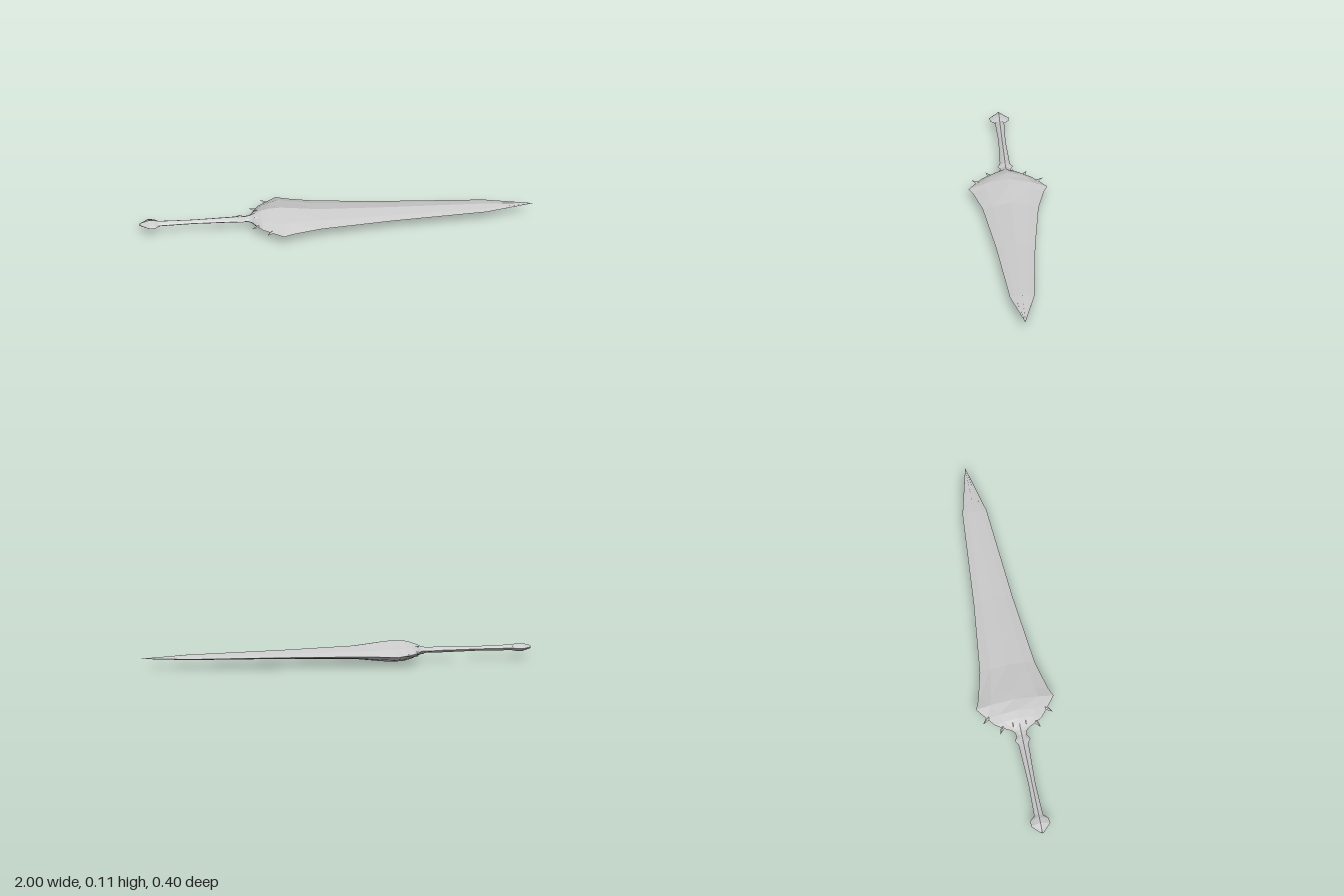
import * as THREE from 'three';

const MID = 0.057; // height of the sword's flat middle plane

// Eight-sided lens section: [z, y] as fractions of half width and half thickness
const LENS = [[1, 0], [0.62, 0.5], [0, 1], [-0.62, 0.5], [-1, 0], [-0.62, -0.5], [0, -1], [0.62, -0.5]];

// Skin a list of [x, halfWidth, halfThickness] stations, closed at both ends
function loft(stations) {
  const n = LENS.length, pos = [], idx = [];
  for (const [x, w, h] of stations) for (const [z, y] of LENS) pos.push(x, y * h, z * w);
  for (let i = 0; i < stations.length - 1; i++) {
    for (let j = 0; j < n; j++) {
      const a = i * n + j, c = i * n + (j + 1) % n;
      idx.push(a, a + n, c, a + n, c + n, c);
    }
  }
  const last = (stations.length - 1) * n;
  for (let j = 1; j < n - 1; j++) {
    idx.push(0, j, j + 1);
    idx.push(last, last + j + 1, last + j);
  }
  const g = new THREE.BufferGeometry();
  g.setAttribute('position', new THREE.Float32BufferAttribute(pos, 3));
  g.setIndex(idx);
  const flat = g.toNonIndexed(); // separate faces give crisp facets
  flat.computeVertexNormals();
  return flat;
}

export function createModel() {
  const sword = new THREE.Group();
  sword.name = 'sword';
  const steel = new THREE.MeshStandardMaterial({ color: 0xcccccc });
  steel.name = 'pale steel';

  const add = (name, geometry) => {
    const mesh = new THREE.Mesh(geometry, steel);
    mesh.name = name;
    mesh.position.y = MID;
    sword.add(mesh);
    return mesh;
  };

  // Broad blade with a swollen, flared shoulder
  add('blade', loft([
    [-0.445, 0.03, 0.017], [-0.43, 0.045, 0.024], [-0.41, 0.085, 0.033], [-0.385, 0.122, 0.043],
    [-0.345, 0.155, 0.053], [-0.285, 0.2, 0.055], [-0.24, 0.18, 0.051], [-0.09, 0.142, 0.034],
    [0.28, 0.1, 0.023], [0.76, 0.062, 0.014], [1, 0.001, 0.001],
  ]));

  // Slim grip ending in a small collar
  add('grip', loft([
    [-0.91, 0.023, 0.015], [-0.73, 0.018, 0.012], [-0.53, 0.025, 0.015], [-0.51, 0.027, 0.016],
    [-0.49, 0.04, 0.014], [-0.465, 0.026, 0.014], [-0.43, 0.034, 0.022],
  ]));

  // Faceted pommel
  add('pommel', loft([
    [-1, 0.008, 0.008], [-0.955, 0.05, 0.021], [-0.925, 0.046, 0.019], [-0.905, 0.024, 0.015],
  ]));

  // Backward-pointing spikes, mirrored on both edges: base, tip, radius
  const spikes = [
    [[-0.395, 0.08], [-0.44, 0.104], 0.014],
    [[-0.335, 0.142], [-0.37, 0.18], 0.014],
  ];
  for (const side of [1, -1]) {
    for (const [base, tip, r] of spikes) {
      const dx = tip[0] - base[0], dz = (tip[1] - base[1]) * side;
      const len = Math.hypot(dx, dz);
      const g = new THREE.ConeGeometry(r, len, 4).toNonIndexed();
      g.rotateZ(Math.PI / 2);
      g.scale(1, 0.6, 1);
      g.rotateY(Math.atan2(dz, -dx));
      g.computeVertexNormals();
      add('shoulderSpike', g).position.set(base[0] + dx / 2, MID, (base[1] * side) + dz / 2);
    }
    // Small fangs on both faces beside the blade root
    for (const up of [1, -1]) {
      const g = new THREE.ConeGeometry(0.008, 0.05, 4).toNonIndexed();
      g.rotateZ(Math.PI / 2);
      g.computeVertexNormals();
      const fang = add('rootFang', g);
      fang.position.set(-0.4, MID + up * 0.024, side * 0.034);
    }
  }
  return sword;
}
